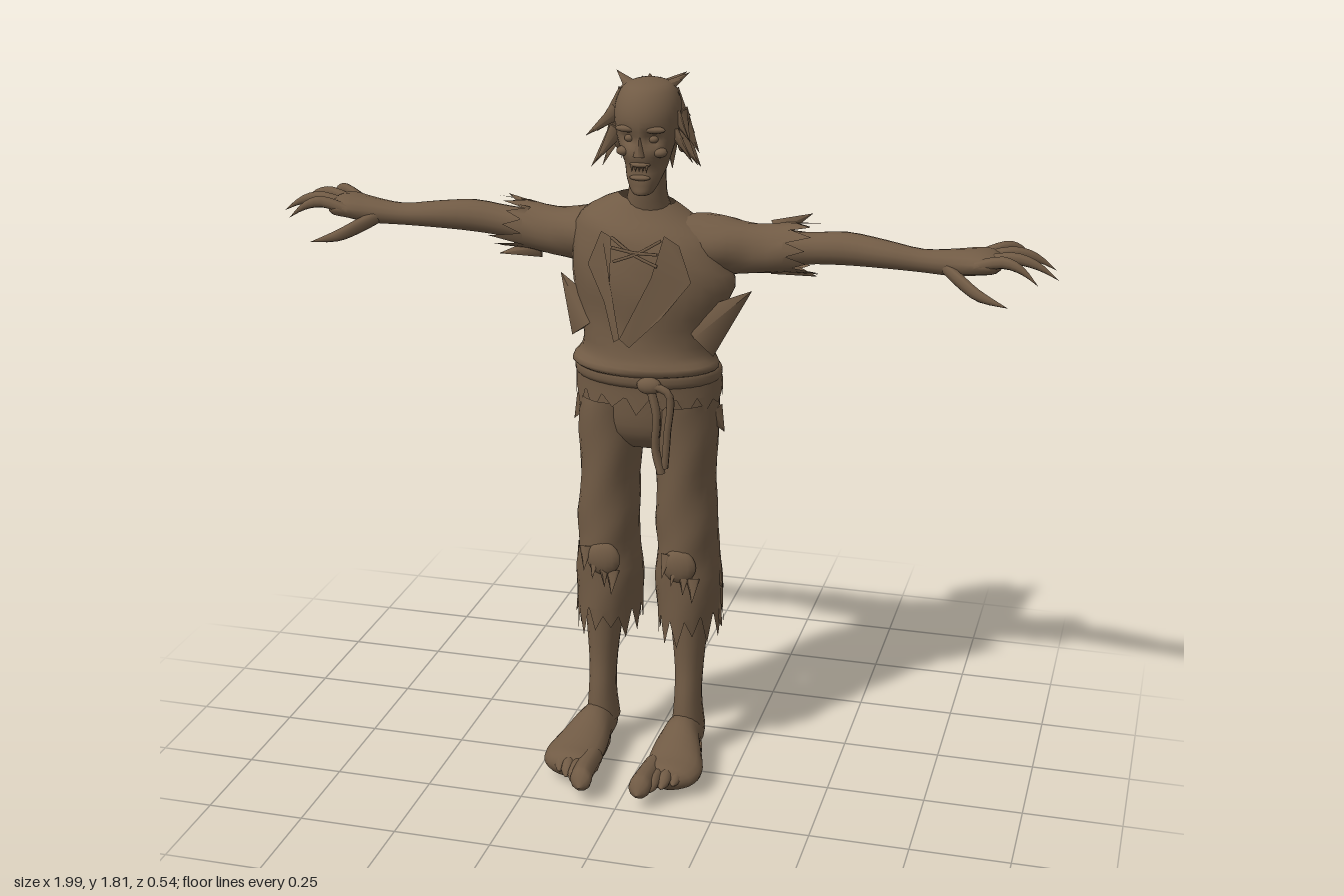
import * as THREE from 'three';

const brown = new THREE.MeshStandardMaterial({ color: 0x715b45, side: THREE.DoubleSide });
brown.name = 'weathered brown';

// Small repeatable random source
let seed = 7;
const rnd = () => { seed = (seed * 16807) % 2147483647; return seed / 2147483647; };
const range = (a, b) => a + (b - a) * rnd();

const part = (group, name, geometry) => {
  const mesh = new THREE.Mesh(geometry, brown);
  mesh.name = name;
  group.add(mesh);
  return mesh;
};

// Smooth interpolation between cross-sections
const spline = (p0, p1, p2, p3, t) => 0.5 * (2 * p1 + (p2 - p0) * t
  + (2 * p0 - 5 * p1 + 4 * p2 - p3) * t * t + (3 * p1 - p0 - 3 * p2 + p3) * t * t * t);

// Skin elliptical sections [cx, cy, cz, ru, rv] along an axis.
// ru, rv: x,z radii along y; y,z radii along x; x,y radii along z.
function loft(axis, sections, { n = 16, sub = 3, rag = 0, wrinkle = 0, side = 1, off = 0, warp } = {}) {
  const list = sections.map(s => [s[0] * side + off, ...s.slice(1)]);
  const k = 'xyz'.indexOf(axis), at = i => list[Math.max(0, Math.min(list.length - 1, i))];
  const rows = [];
  for (let i = 0; i < list.length - 1; i++) for (let j = 0; j < sub; j++) {
    rows.push(list[i].map((_, c) => spline(at(i - 1)[c], at(i)[c], at(i + 1)[c], at(i + 2)[c], j / sub)));
  }
  rows.push(at(list.length));
  const dir = Math.sign(at(list.length)[k] - list[0][k]);
  const pos = [], index = [], p = new THREE.Vector3();
  rows.forEach((r, i) => {
    for (let j = 0; j < n; j++) {
      const a = j / n * Math.PI * 2;
      const w = 1 + wrinkle * (Math.sin(3 * a + i * 1.1) + 0.6 * Math.sin(7 * a - i * 1.7));
      const u = Math.max(r[3], 0) * Math.cos(a) * w, v = Math.max(r[4], 0) * Math.sin(a) * w;
      if (axis === 'y') p.set(r[0] + u, r[1], r[2] - v);
      else if (axis === 'x') p.set(r[0], r[1] + u, r[2] + v);
      else p.set(r[0] + u, r[1] + v, r[2]);
      if (rag && i === rows.length - 1) {
        p.setComponent(k, p.getComponent(k) + dir * rag * (j % 2 ? range(0.3, 1) : range(-0.6, 0)));
      }
      if (warp) warp(p);
      pos.push(p.x, p.y, p.z);
      if (i < rows.length - 1) {
        const q = (j + 1) % n, A = i * n + j, B = i * n + q, C = A + n, D = B + n;
        if (dir > 0) index.push(A, B, C, B, D, C); else index.push(A, C, B, B, C, D);
      }
    }
  });
  const g = new THREE.BufferGeometry();
  g.setAttribute('position', new THREE.Float32BufferAttribute(pos, 3));
  g.setIndex(index);
  g.computeVertexNormals();
  return g;
}

// Flattened pointed lock or shred between two points
function spike(group, name, from, to, width, flat = 0.4) {
  const a = new THREE.Vector3(...from), b = new THREE.Vector3(...to);
  const m = part(group, name, new THREE.ConeGeometry(width, a.distanceTo(b), 5));
  m.position.copy(a).lerp(b, 0.5);
  m.quaternion.setFromUnitVectors(new THREE.Vector3(0, 1, 0), b.sub(a).normalize());
  m.scale.z = flat;
}

const cord = (group, name, pts, r) => part(group, name, new THREE.TubeGeometry(
  new THREE.CatmullRomCurve3(pts.map(p => new THREE.Vector3(...p))), 16, r, 6));

const blob = (group, name, c, s) => {
  const m = part(group, name, new THREE.SphereGeometry(1, 14, 10));
  m.position.set(...c);
  m.scale.set(...s);
};

// Flat cloth piece draped over the chest
const chestZ = (x, y) => -0.1 + 0.125 * Math.sqrt(Math.max(0, 1 - (x / 0.22) ** 2)) - Math.max(0, y - 1.41) * 0.9;
function chestPatch(group, name, pts) {
  const g = new THREE.ShapeGeometry(new THREE.Shape(pts.map(p => new THREE.Vector2(...p))));
  const P = g.attributes.position;
  for (let i = 0; i < P.count; i++) P.setZ(i, chestZ(P.getX(i), P.getY(i)) + 0.012);
  g.computeVertexNormals();
  part(group, name, g);
}

function buildHead(root) {
  const head = new THREE.Group();
  head.name = 'head';
  root.add(head);
  const dent = (p, x, y, r, d) => {
    if (p.z > -0.06) p.z -= d * Math.exp(-((p.x - x) ** 2 + (p.y - y) ** 2) / (r * r));
  };
  part(head, 'skull', loft('y', [
    [0, 1.532, -0.02, 0, 0], [0, 1.537, -0.02, 0.022, 0.028], [0, 1.56, -0.03, 0.037, 0.04],
    [0, 1.6, -0.05, 0.052, 0.066], [0, 1.64, -0.06, 0.064, 0.077], [0, 1.68, -0.066, 0.076, 0.083],
    [0, 1.73, -0.072, 0.081, 0.088], [0, 1.77, -0.078, 0.072, 0.078], [0, 1.795, -0.082, 0.05, 0.054],
    [0, 1.808, -0.085, 0, 0]], { n: 32, sub: 4, warp: p => {
    for (const s of [-1, 1]) {
      dent(p, s * 0.03, 1.672, 0.018, 0.022);
      dent(p, s * 0.045, 1.605, 0.02, 0.014);
    }
    dent(p, 0, 1.597, 0.02, 0.012);
  } }));
  for (const s of [-1, 1]) {
    blob(head, 'brow', [s * 0.032, 1.697, 0.002], [0.03, 0.009, 0.012]);
    blob(head, 'cheekbone', [s * 0.045, 1.64, -0.012], [0.018, 0.012, 0.018]);
    blob(head, 'eye', [s * 0.03, 1.672, -0.008], [0.012, 0.009, 0.01]);
    blob(head, 'ear', [s * 0.08, 1.66, -0.09], [0.012, 0.034, 0.02]);
    spike(head, 'ear tip', [s * 0.08, 1.67, -0.09], [s * 0.095, 1.71, -0.105], 0.014);
  }
  spike(head, 'nose', [0, 1.632, 0.012], [0, 1.69, 0.012], 0.015, 0.9);
  for (const y of [1.612, 1.58]) blob(head, 'lip', [0, y, 0.006], [0.026, 0.007, 0.013]);
  for (let i = -2; i <= 2; i++) {
    spike(head, 'tooth', [i * 0.009, 1.613, 0.012], [i * 0.009, 1.594, 0.014], 0.005, 0.7);
  }
  // Ragged hair round the sides and back, with short tufts over the crown
  for (let row = 0; row < 3; row++) for (let i = 0; i < 15; i++) {
    const a = -0.35 + (i + rnd() * 0.6) / 14.5 * (Math.PI + 0.7);
    const y = 1.68 + row * 0.044, r = [0.075, 0.074, 0.055][row];
    const c = Math.cos(a), s = Math.sin(a), o = r + range(0.035, 0.07), d = range(0.05, 0.11);
    spike(head, 'hair lock', [c * r - 0.003, y, -0.085 - s * r], [c * o - 0.012, y - d, -0.085 - s * (o + 0.008)], 0.023, 0.45);
  }
  for (let i = 0; i < 9; i++) {
    const x = range(-0.045, 0.045), z = range(-0.12, -0.06);
    spike(head, 'crown tuft', [x, 1.785, z], [x * 2.1 - 0.01, range(1.79, 1.812), z - range(0.04, 0.07)], 0.018);
  }
  for (let i = -2; i <= 2; i++) {
    spike(head, 'nape lock', [i * 0.02, 1.66, -0.14], [i * 0.017, range(1.54, 1.58), -0.175], 0.022);
  }
  part(head, 'neck', loft('y', [[-0.012, 1.4, -0.12, 0.075, 0.06], [-0.01, 1.47, -0.11, 0.062, 0.055],
    [-0.006, 1.53, -0.09, 0.047, 0.046], [0, 1.63, -0.08, 0.043, 0.045]], { n: 20 }));
}

function buildTorso(root) {
  const torso = new THREE.Group();
  torso.name = 'torso';
  root.add(torso);
  // Shirt, with the right shoulder carried higher than the left
  const slope = p => { p.y -= p.x * 0.14 * THREE.MathUtils.smoothstep(p.y, 1.28, 1.42); };
  part(torso, 'shirt', loft('y', [
    [-0.01, 1.075, -0.1, 0.17, 0.115], [-0.01, 1.095, -0.09, 0.187, 0.132], [-0.007, 1.13, -0.092, 0.168, 0.116],
    [-0.005, 1.2, -0.093, 0.168, 0.113], [0.006, 1.29, -0.1, 0.205, 0.126], [0, 1.37, -0.105, 0.198, 0.126],
    [-0.005, 1.43, -0.112, 0.182, 0.112], [-0.014, 1.47, -0.12, 0.125, 0.08], [-0.016, 1.5, -0.12, 0.07, 0.056]],
  { n: 32, wrinkle: 0.012, warp: slope }));
  chestPatch(torso, 'right lapel', [[-0.1, 1.44], [-0.13, 1.36], [-0.085, 1.27], [-0.06, 1.17], [-0.045, 1.18], [-0.07, 1.32], [-0.07, 1.43]]);
  chestPatch(torso, 'left lapel', [[0.06, 1.44], [0.035, 1.34], [-0.045, 1.18], [-0.02, 1.16], [0.06, 1.24], [0.13, 1.33], [0.1, 1.42]]);
  const lace = [[-0.07, 1.43, 0.05, 1.37], [-0.06, 1.375, 0.055, 1.43], [-0.065, 1.41, 0.05, 1.4]];
  for (const [x, y, X, Y] of lace) {
    cord(torso, 'chest lace', [[x, y, chestZ(x, y) + 0.012], [(x + X) / 2, (y + Y) / 2 - 0.005, 0.03], [X, Y, chestZ(X, Y) + 0.012]], 0.004);
  }
  // Loose cloth under the arms
  spike(torso, 'left side flap', [0.13, 1.18, -0.05], [0.265, 1.3, -0.06], 0.07, 0.5);
  spike(torso, 'right side flap', [-0.14, 1.19, -0.05], [-0.225, 1.31, -0.07], 0.06, 0.5);
  // Torn collar and shoulder shreds
  for (let i = 0; i < 12; i++) {
    const x = -0.17 + i * 0.029, y = 1.46 - x * 0.12 - Math.abs(x) * 0.2;
    spike(torso, 'shoulder shred', [x, y, -0.17], [x + range(-0.03, 0.03), y - range(0.02, 0.07), range(-0.245, -0.22)], 0.025);
  }
  // Shirt tail, belt and hanging rope
  part(torso, 'shirt tail', loft('y', [[-0.008, 1.09, -0.1, 0.178, 0.122], [-0.008, 1.05, -0.113, 0.188, 0.128],
    [-0.008, 1.01, -0.113, 0.188, 0.127]], { n: 36, rag: 0.045 }));
  part(torso, 'belt', loft('y', [[-0.008, 1.05, -0.105, 0.18, 0.12], [-0.008, 1.06, -0.108, 0.188, 0.133],
    [-0.008, 1.08, -0.106, 0.187, 0.133], [-0.008, 1.09, -0.1, 0.175, 0.12]], { n: 32 }));
  blob(torso, 'rope knot', [0.03, 1.065, 0.03], [0.032, 0.022, 0.018]);
  cord(torso, 'rope end', [[0.03, 1.07, 0.03], [0.05, 0.99, 0.035], [0.045, 0.9, 0.025], [0.06, 0.835, 0.025]], 0.011);
  cord(torso, 'rope end', [[0.03, 1.07, 0.035], [0.08, 1.05, 0.035], [0.075, 0.94, 0.025], [0.068, 0.85, 0.022]], 0.01);
  part(torso, 'trouser seat', loft('y', [[-0.008, 1.08, -0.11, 0.176, 0.115], [-0.008, 1, -0.115, 0.182, 0.118],
    [-0.008, 0.92, -0.114, 0.172, 0.105], [-0.008, 0.87, -0.112, 0.1, 0.06], [-0.008, 0.86, -0.11, 0, 0]], { n: 28 }));
}

function buildArm(root, side) {
  const arm = new THREE.Group();
  arm.name = side > 0 ? 'left arm' : 'right arm';
  root.add(arm);
  const warp = p => { p.z += side * 0.035 * Math.abs(p.x); p.y -= side * 0.01 * Math.abs(p.x); };
  const opt = { side, warp, n: 14 };
  part(arm, 'arm', loft('x', [[0.12, 1.4, -0.13, 0.06, 0.07], [0.25, 1.39, -0.145, 0.05, 0.055],
    [0.38, 1.4, -0.148, 0.04, 0.042], [0.48, 1.41, -0.142, 0.041, 0.042], [0.58, 1.408, -0.13, 0.034, 0.04],
    [0.67, 1.402, -0.125, 0.028, 0.032], [0.75, 1.405, -0.125, 0.032, 0.045], [0.81, 1.412, -0.13, 0.03, 0.07],
    [0.85, 1.412, -0.132, 0.022, 0.066], [0.87, 1.412, -0.13, 0, 0]], opt));
  part(arm, 'torn sleeve', loft('x', [[0.08, 1.405, -0.125, 0.06, 0.085], [0.17, 1.395, -0.135, 0.07, 0.08],
    [0.26, 1.39, -0.145, 0.06, 0.066], [0.36, 1.4, -0.148, 0.062, 0.062]], { ...opt, n: 22, rag: 0.07, wrinkle: 0.03 }));
  for (const [x, y, z, X, Y, Z] of [[0.3, 1.43, -0.16, 0.39, 1.475, -0.17], [0.3, 1.35, -0.14, 0.41, 1.325, -0.14],
    [0.3, 1.4, -0.19, 0.4, 1.41, -0.225]]) {
    spike(arm, 'sleeve shred', [side * x, y, z], [side * X, Y, Z], 0.028, 0.3);
  }
  // Fingers: base z, tip x, tip z
  for (const [z, X, Z] of [[-0.185, 0.93, -0.26], [-0.148, 0.985, -0.2], [-0.112, 0.997, -0.115], [-0.078, 0.955, -0.05]]) {
    const mid = t => 0.82 + (X - 0.82) * t, mz = t => z + (Z - z) * t;
    part(arm, 'finger', loft('x', [[0.8, 1.412, z, 0.014, 0.016], [mid(0.35), 1.43, mz(0.35), 0.015, 0.015],
      [mid(0.7), 1.418, mz(0.7), 0.011, 0.011], [X, 1.385, Z, 0, 0]], { ...opt, n: 8 }));
  }
  part(arm, 'thumb', loft('x', [[0.72, 1.4, -0.11, 0.018, 0.02], [0.77, 1.375, -0.07, 0.02, 0.018],
    [0.82, 1.352, -0.04, 0.015, 0.014], [0.89, 1.333, -0.025, 0, 0]], { ...opt, n: 8 }));
}

function buildLeg(root, side) {
  const leg = new THREE.Group();
  leg.name = side > 0 ? 'left leg' : 'right leg';
  root.add(leg);
  part(leg, 'trouser leg', loft('y', [[0.088, 1.0, -0.113, 0.09, 0.112], [0.096, 0.9, -0.113, 0.084, 0.11],
    [0.1, 0.78, -0.105, 0.075, 0.096], [0.104, 0.67, -0.106, 0.08, 0.096], [0.106, 0.585, -0.11, 0.079, 0.097],
    [0.106, 0.5, -0.122, 0.087, 0.11], [0.109, 0.395, -0.126, 0.083, 0.107]],
  { side, off: -0.008, n: 26, rag: 0.07, wrinkle: 0.018 }));
  blob(leg, 'knee patch', [side * 0.1 - 0.004, 0.57, -0.017], [0.045, 0.045, 0.02]);
  for (let i = 0; i < 4; i++) {
    const y = 0.6 - i * 0.02, x = side * 0.106 - 0.008 + (i - 1.5) * 0.024;
    spike(leg, 'knee shred', [x, y, -0.015], [x + range(-0.01, 0.01), y - 0.06, 0.008], 0.018);
  }
  for (const [y, d] of [[0.97, 0.06], [0.56, 0.08], [0.47, 0.1]]) {
    spike(leg, 'trouser shred', [side * 0.168 - 0.008, y, -0.1], [side * 0.198 - 0.008, y - d, -0.11], 0.03);
  }
  part(leg, 'shin', loft('y', [[0.11, 0.52, -0.11, 0.055, 0.06], [0.115, 0.38, -0.113, 0.049, 0.057],
    [0.117, 0.26, -0.105, 0.038, 0.046], [0.117, 0.17, -0.095, 0.036, 0.046], [0.117, 0.08, -0.1, 0.044, 0.056]],
  { side, off: -0.013 }));
  // Broad bare foot with toes stepping back from the big toe
  const foot = { side, off: -0.02 };
  part(leg, 'foot', loft('z', [[0.12, 0.055, -0.17, 0, 0], [0.12, 0.057, -0.155, 0.032, 0.042],
    [0.12, 0.063, -0.11, 0.046, 0.053], [0.12, 0.072, -0.04, 0.05, 0.058], [0.127, 0.062, 0.03, 0.066, 0.048],
    [0.135, 0.053, 0.1, 0.075, 0.038], [0.125, 0.05, 0.15, 0.066, 0.032], [0.12, 0.05, 0.175, 0, 0]], { ...foot, n: 18 }));
  for (let i = 0; i < 5; i++) {
    const x = 0.08 + i * 0.025, tip = 0.25 - i * 0.024, r = i ? 0.016 : 0.027;
    part(leg, 'toe', loft('z', [[x + 0.004, 0.055, 0.09, r, r], [x, 0.062, tip - 0.055, r, r * 1.05],
      [x - 0.003, 0.055, tip - 0.02, r, r], [x - 0.004, 0.045, tip, 0, 0]], { ...foot, n: 10 }));
  }
  part(leg, 'sole', loft('y', [[0.122, 0, 0.0, 0.035, 0.12], [0.125, 0.02, 0.0, 0.05, 0.14], [0.125, 0.04, 0, 0.05, 0.14]], foot));
}

export function createModel() {
  seed = 7;
  const root = new THREE.Group();
  root.name = 'ragged figure';
  buildHead(root);
  buildTorso(root);
  for (const side of [-1, 1]) {
    buildArm(root, side);
    buildLeg(root, side);
  }
  return root;
}
